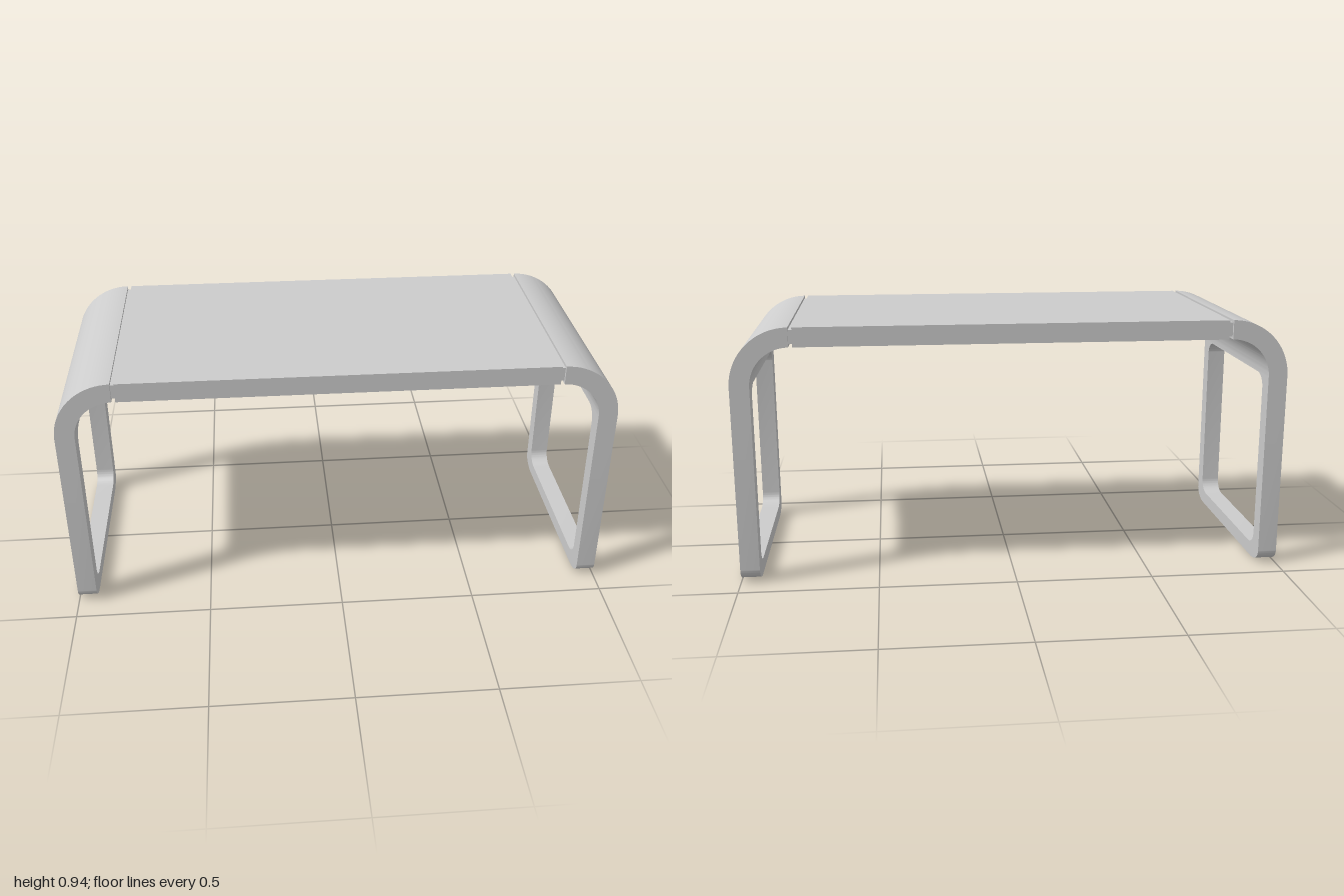
import * as THREE from 'three';
import { toCreasedNormals } from 'three/addons/utils/BufferGeometryUtils.js';

const H = 0.935;      // overall height
const D = 0.412;      // half depth
const T = 0.07;       // board thickness
const R = 0.21;       // outer bend radius
const BEND_Y = H - R; // height where the bend starts

const material = new THREE.MeshStandardMaterial({ color: 0xcccccc });

function part(geometry, name) {
  const mesh = new THREE.Mesh(geometry, material);
  mesh.name = name;
  return mesh;
}

function extrude(shape, depth, curveSegments) {
  const geometry = new THREE.ExtrudeGeometry(shape, { depth, curveSegments, bevelEnabled: false });
  return toCreasedNormals(geometry, 0.6);
}

function box(w, h, d, y) {
  return new THREE.BoxGeometry(w, h, d).translate(0, y, 0);
}

// Flat side frame: rounded foot corners and a rounded opening
function legFrame() {
  const s = new THREE.Shape();
  const rx = 0.085, ry = 0.05;
  s.moveTo(D, BEND_Y);
  s.lineTo(-D, BEND_Y);
  s.lineTo(-D, ry);
  s.absellipse(-D + rx, ry, rx, ry, Math.PI, Math.PI * 1.5);
  s.absellipse(D - rx, ry, rx, ry, Math.PI * 1.5, Math.PI * 2);
  s.closePath();

  const hole = new THREE.Path();
  const w = 0.35, y0 = 0.052, y1 = 0.721, hx = 0.058, hy = 0.05;
  const corners = [[w - hx, y1 - hy], [-w + hx, y1 - hy], [-w + hx, y0 + hy], [w - hx, y0 + hy]];
  corners.forEach(([x, y], i) =>
    hole.absellipse(x, y, hx, hy, i * Math.PI / 2, (i + 1) * Math.PI / 2));
  hole.closePath();
  s.holes.push(hole);

  return extrude(s, T, 8).rotateY(Math.PI / 2).translate(1 - T, 0, 0);
}

// Quarter bend joining the side frame to the seat
function bend() {
  const s = new THREE.Shape();
  s.absarc(1 - R, BEND_Y, R, 0, Math.PI / 2, false);
  s.absarc(1 - R, BEND_Y, R - T, Math.PI / 2, 0, true);
  s.closePath();
  return extrude(s, 2 * D, 16).translate(0, 0, -D);
}

export function createModel() {
  const bench = new THREE.Group();
  bench.name = 'bench';

  bench.add(part(box(1.552, T, 2 * D, H - T / 2), 'seat'));

  const frame = legFrame();
  const corner = bend();
  // Recessed strip that leaves a shadow gap beside the seat
  const strip = box(0.02, T - 0.02, 2 * D - 0.02, H - T / 2).translate(0.782, 0, 0);

  for (const side of ['left', 'right']) {
    const end = new THREE.Group();
    end.name = side + 'End';
    end.add(part(frame, side + 'LegFrame'), part(corner, side + 'Bend'), part(strip, side + 'JointStrip'));
    if (side === 'right') end.rotation.y = Math.PI;
    bench.add(end);
  }
  return bench;
}
